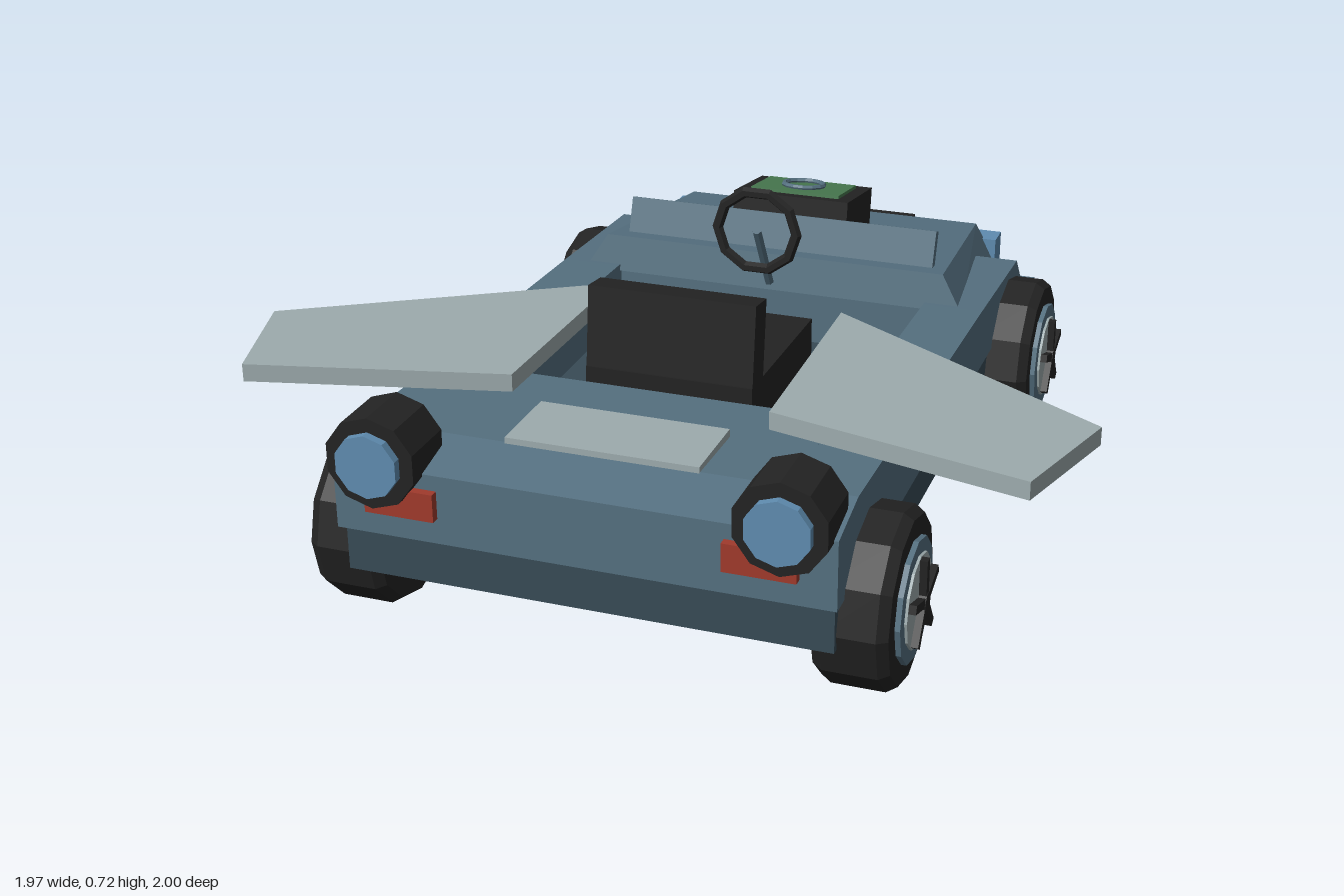
import * as THREE from 'three';

function mat(name, color) {
  const m = new THREE.MeshStandardMaterial({ color, flatShading: true });
  m.name = name;
  return m;
}

export function createModel() {
  const body = mat('slate blue', 0x557080);
  const dark = mat('dark slate', 0x384b56);
  const black = mat('black', 0x232323);
  const grey = mat('pale grey', 0x9dabad);
  const lamp = mat('lamp blue', 0x5f8cb0);
  const red = mat('red', 0xa03a2c);
  const green = mat('green', 0x487a50);
  const car = new THREE.Group();
  car.name = 'roadster';

  const add = (name, geo, m, x = 0, y = 0, z = 0, parent = car) => {
    const mesh = new THREE.Mesh(geo, m);
    mesh.name = name;
    mesh.position.set(x, y, z);
    parent.add(mesh);
    return mesh;
  };
  // Box given by its min/max on each axis
  const span = (name, m, x0, x1, y0, y1, z0, z1) =>
    add(name, new THREE.BoxGeometry(x1 - x0, y1 - y0, z1 - z0), m, (x0 + x1) / 2, (y0 + y1) / 2, (z0 + z1) / 2);
  // Side profile of [z, y] points extruded from x0 to x1
  const profile = (name, m, pts, x0, x1) => {
    const shape = new THREE.Shape(pts.map(([z, y]) => new THREE.Vector2(-z, y)));
    const geo = new THREE.ExtrudeGeometry(shape, { depth: x1 - x0, bevelEnabled: false });
    geo.rotateY(Math.PI / 2).translate(x0, 0, 0);
    return add(name, geo, m);
  };

  // Lower tub, which is also the cockpit floor
  span('chassis', dark, -0.55, 0.55, 0.17, 0.285, -0.86, 0.92);

  // Upper body: two sides, rear deck and nose around the open cockpit
  const side = [[0.94, 0.28], [0.94, 0.44], [0.8, 0.472], [-0.33, 0.437], [-0.75, 0.42], [-0.86, 0.3], [-0.86, 0.28]];
  profile('leftSide', body, side, 0.41, 0.56);
  profile('rightSide', body, side, -0.56, -0.41);
  profile('rearDeck', body, [[0.94, 0.28], [0.94, 0.44], [0.8, 0.472], [0.43, 0.461], [0.43, 0.28]], -0.41, 0.41);
  profile('nose', body, [[-0.35, 0.28], [-0.35, 0.436], [-0.75, 0.42], [-0.86, 0.3], [-0.86, 0.28]], -0.41, 0.41);

  // Tapered hood: each box corner is moved to its place
  const hood = new THREE.BoxGeometry(1, 1, 1);
  const p = hood.attributes.position;
  for (let i = 0; i < p.count; i++) {
    const s = Math.sign(p.getX(i)), top = p.getY(i) > 0, rear = p.getZ(i) > 0;
    if (top) p.setXYZ(i, s * (rear ? 0.45 : 0.41), rear ? 0.51 : 0.45, rear ? -0.36 : -0.915);
    else p.setXYZ(i, s * (rear ? 0.505 : 0.49), rear ? 0.42 : 0.285, rear ? -0.34 : -0.955);
  }
  add('hood', hood, body);

  // Bumper, grille and headlights
  span('bumper', body, -0.57, 0.57, 0.21, 0.29, -0.975, -0.905);
  span('grille', black, -0.22, 0.22, 0.305, 0.43, -0.99, -0.92);
  for (let i = -2; i <= 2; i++) span('grilleRib', body, i * 0.078 - 0.012, i * 0.078 + 0.012, 0.315, 0.42, -1.0, -0.985);
  for (const s of [-1, 1]) {
    add('headlight', new THREE.BoxGeometry(0.165, 0.09, 0.07), lamp, s * 0.385, 0.365, -0.945);
    add('tailLight', new THREE.BoxGeometry(0.16, 0.065, 0.03), red, s * 0.4, 0.372, 0.945);

    // Rear thruster
    const tube = new THREE.CylinderGeometry(0.105, 0.105, 0.14, 10).rotateX(Math.PI / 2);
    add('thruster', tube, black, s * 0.45, 0.467, 0.91);
    const cap = new THREE.CylinderGeometry(0.073, 0.073, 0.02, 10).rotateX(Math.PI / 2);
    add('thrusterCap', cap, lamp, s * 0.45, 0.467, 0.99);

    // Swept wing
    const outline = [[0.29, 0], [0.985, 0.43], [0.895, 0.73], [0.3, 0.585]];
    const wing = new THREE.Shape(outline.map(([x, z]) => new THREE.Vector2(s * x, -z)));
    add('wing', new THREE.ExtrudeGeometry(wing, { depth: 0.042, bevelEnabled: false }).rotateX(-Math.PI / 2), grey, 0, 0.485, 0);
  }
  span('rearPanel', grey, -0.22, 0.22, 0.455, 0.485, 0.61, 0.805);

  // Seat
  profile('seatCushion', black, [[0.4, 0.285], [0.4, 0.485], [-0.06, 0.475], [-0.06, 0.285]], -0.2, 0.2);
  const back = new THREE.Group();
  back.name = 'seatBack';
  back.position.set(0, 0.565, 0.348);
  back.rotation.x = -0.12;
  car.add(back);
  add('backrest', new THREE.BoxGeometry(0.4, 0.21, 0.075), black, 0, 0, 0, back);
  add('backrestPanel', new THREE.BoxGeometry(0.31, 0.12, 0.009), body, 0, 0.015, -0.042, back);

  // Windscreen bar and steering wheel
  add('windscreenBar', new THREE.BoxGeometry(0.82, 0.1, 0.026), body, 0, 0.54, -0.438).rotation.x = -0.34;
  add('steeringWheel', new THREE.TorusGeometry(0.103, 0.014, 6, 10), black, 0, 0.615, -0.24);
  const column = new THREE.TubeGeometry(
    new THREE.LineCurve3(new THREE.Vector3(0, 0.615, -0.24), new THREE.Vector3(0, 0.44, -0.345)), 1, 0.012, 6);
  add('steeringColumn', column, body);

  // Instrument box on the hood
  const box = new THREE.Group();
  box.name = 'hoodInstrument';
  box.position.set(0, 0.54, -0.63);
  box.rotation.x = -0.15;
  car.add(box);
  add('instrumentCase', new THREE.BoxGeometry(0.31, 0.11, 0.24), black, 0, 0, 0, box);
  add('instrumentScreen', new THREE.BoxGeometry(0.24, 0.009, 0.17), green, 0, 0.059, 0, box);
  add('instrumentRing', new THREE.TorusGeometry(0.053, 0.007, 6, 14).rotateX(Math.PI / 2), body, 0, 0.068, 0, box);

  // Wheels: outer side faces local +x
  const disc = (r, h) => new THREE.CylinderGeometry(r, r, h, 12).rotateZ(-Math.PI / 2);
  const tyreProfile = [[0, -0.083], [0.185, -0.083], [0.2, -0.06], [0.2, 0.06], [0.185, 0.083], [0, 0.083]];
  const tyre = new THREE.LatheGeometry(tyreProfile.map(([r, y]) => new THREE.Vector2(r, y)), 12).rotateZ(-Math.PI / 2);
  for (const s of [-1, 1]) {
    for (const z of [-0.65, 0.71]) {
      const wheel = new THREE.Group();
      wheel.name = z < 0 ? 'frontWheel' : 'rearWheel';
      wheel.position.set(s * 0.573, 0.203, z);
      if (s < 0) wheel.rotation.y = Math.PI;
      car.add(wheel);
      add('tyre', tyre, black, 0, 0, 0, wheel);
      add('rim', disc(0.138, 0.02), body, 0.085, 0, 0, wheel);
      add('hubDisc', disc(0.105, 0.014), grey, 0.094, 0, 0, wheel);
      add('hub', disc(0.022, 0.03), black, 0.104, 0, 0, wheel);
      for (let i = 0; i < 5; i++) {
        const spoke = new THREE.BoxGeometry(0.025, 0.1, 0.02).translate(0, 0.05, 0).rotateX(i * Math.PI * 0.4);
        add('spoke', spoke, black, 0.105, 0, 0, wheel);
      }
    }
  }
  return car;
}
